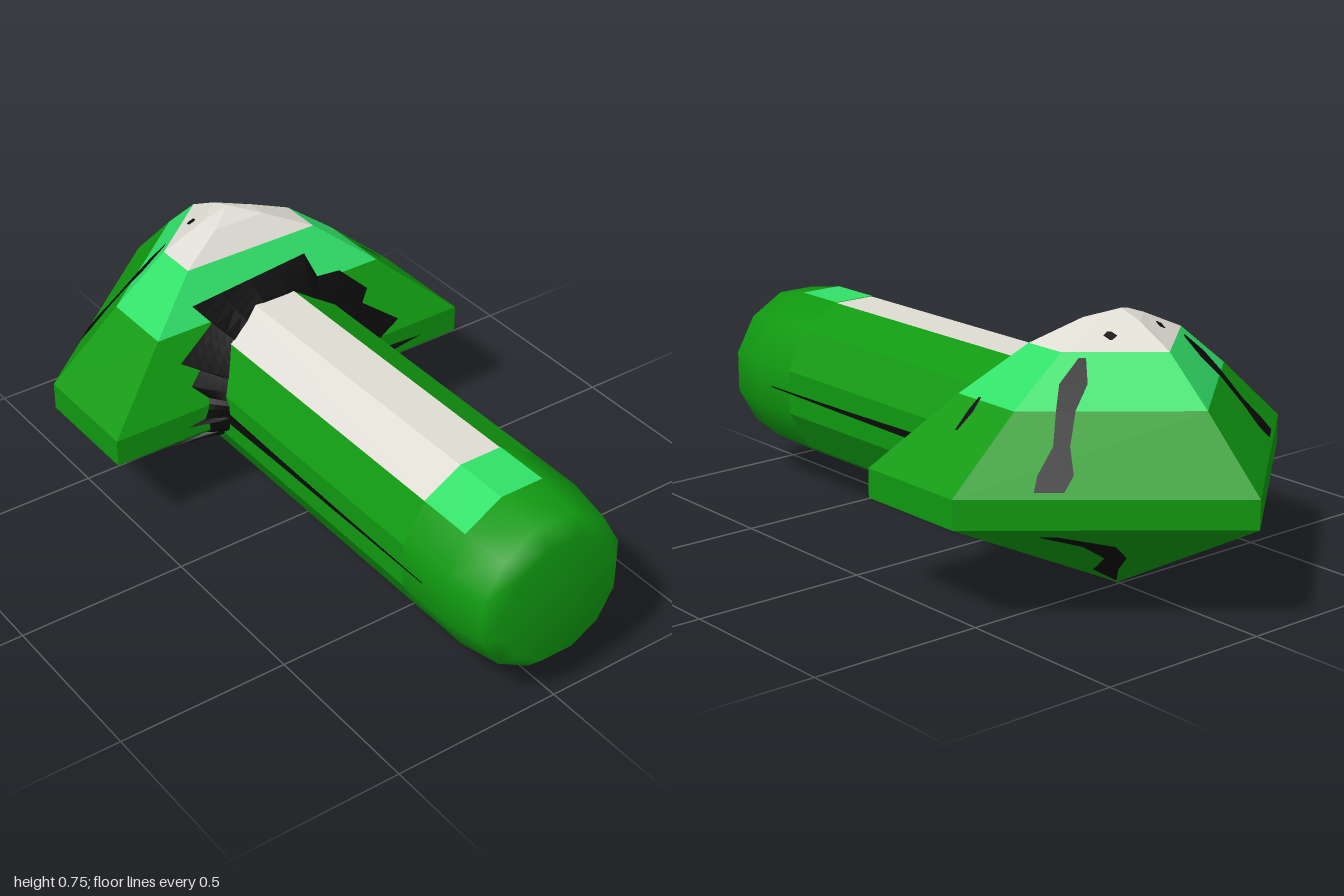
import * as THREE from 'three';

const material = (name, color, side = THREE.FrontSide) => {
  const m = new THREE.MeshStandardMaterial({ color, side });
  m.name = name;
  return m;
};

// Head levels: y, x of the tip, x of the side corners, x of the back corners, half depth
const LEVELS = [
  [0, -0.49, -0.49, -0.49, 0],
  [0.28, -1, -0.51, -0.17, 0.582],
  [0.36, -1, -0.51, -0.17, 0.582],
  [0.545, -0.81, -0.5, -0.28, 0.372],
  [0.67, -0.67, -0.495, -0.37, 0.212],
  [0.728, -0.56, -0.49, -0.43, 0.08],
  [0.752, -0.49, -0.49, -0.49, 0],
];
const STEM_Y = 0.32, STEM_R = 0.25, SIDES = 12;

const V = (x, y, z) => new THREE.Vector3(x, y, z);

// Values of the head outline at any height
function levelAt(y) {
  let i = 0;
  while (i < LEVELS.length - 2 && y > LEVELS[i + 1][0]) i++;
  const a = LEVELS[i], b = LEVELS[i + 1];
  const t = (y - a[0]) / (b[0] - a[0]);
  return a.map((v, k) => v + (b[k] - v) * t);
}

// Five corners of the head at a level
const corners = ([y, tip, side, back, z]) => [
  V(tip, y, 0), V(side, y, z), V(back, y, z), V(back, y, -z), V(side, y, -z),
];

const addQuad = (list, a, b, c, d) => list.push(a, b, c, a, c, d);

function flatMesh(name, list, mat) {
  const g = new THREE.BufferGeometry().setFromPoints(list);
  g.computeVertexNormals();
  const m = new THREE.Mesh(g, mat);
  m.name = name;
  return m;
}

// Faceted head between two level indices
function headBand(name, from, to, mat) {
  const list = [];
  for (let l = from; l < to; l++) {
    const lo = corners(LEVELS[l]), hi = corners(LEVELS[l + 1]);
    for (let i = 0; i < 5; i++) {
      const j = (i + 1) % 5;
      if (LEVELS[l][4] === 0) list.push(lo[i], hi[j], hi[i]);
      else if (LEVELS[l + 1][4] === 0) list.push(lo[i], lo[j], hi[i]);
      else addQuad(list, lo[i], lo[j], hi[j], hi[i]);
    }
  }
  return flatMesh(name, list, mat);
}

// Jagged strip lying on one head facet; rows are [y, u0, u1] across the facet
function crack(name, i, j, rows, mat, mirror = 1) {
  const centre = V(-0.49, 0.32, 0);
  const at = (y, u) => {
    const c = corners(levelAt(y));
    const p = c[i].clone().lerp(c[j], u).sub(centre).multiplyScalar(1.012).add(centre);
    p.z *= mirror;
    return p;
  };
  const list = [];
  for (let k = 0; k < rows.length - 1; k++) {
    const [y0, a, b] = rows[k], [y1, c, d] = rows[k + 1];
    addQuad(list, at(y0, a), at(y0, b), at(y1, d), at(y1, c));
  }
  return flatMesh(name, list, mat);
}

// Stem facets, numbered from the top towards +z
function stemFacets(name, x0, x1, r, facets, mat) {
  const p = (x, k) => {
    const a = (k - 0.5) * 2 * Math.PI / SIDES;
    return V(x, STEM_Y + r * Math.cos(a), r * Math.sin(a));
  };
  const list = [];
  for (const f of facets) addQuad(list, p(x0, f), p(x0, f + 1), p(x1, f + 1), p(x1, f));
  return flatMesh(name, list, mat);
}

// Jagged collar on the back of the head, rising onto the stem
function collar(mat) {
  const outline = [
    [0.24, 0.595], [-0.15, 0.62], [-0.165, 0.56], [-0.24, 0.555], [-0.31, 0.49], [-0.28, 0.46],
    [-0.38, 0.39], [-0.29, 0.36], [-0.3, 0.325], [-0.45, 0.317], [-0.3, 0.31], [-0.29, 0.26],
    [-0.39, 0.245], [-0.28, 0.2], [-0.25, 0.15], [-0.12, 0.075], [0, 0.045], [0.12, 0.075],
    [0.25, 0.15], [0.28, 0.18], [0.37, 0.21], [0.28, 0.25], [0.29, 0.31], [0.355, 0.317],
    [0.3, 0.325], [0.28, 0.38], [0.32, 0.42], [0.28, 0.45], [0.33, 0.48], [0.2, 0.545],
  ];
  const STEPS = 4, RINGS = 4;
  const point = (z, y, t) => {
    const k = 0.238 / Math.hypot(z, y - STEM_Y);
    const s = k + (1 - k) * t;
    const yy = STEM_Y + (y - STEM_Y) * s;
    return V(levelAt(yy)[3] + 0.007 + 0.035 * (1 - t), yy, z * s);
  };
  const list = [];
  outline.forEach(([z0, y0], i) => {
    const [z1, y1] = outline[(i + 1) % outline.length];
    const along = (s, t) => point(z0 + (z1 - z0) * s, y0 + (y1 - y0) * s, t);
    for (let s = 0; s < STEPS; s++) for (let r = 0; r < RINGS; r++) {
      const a = s / STEPS, b = (s + 1) / STEPS, c = r / RINGS, d = (r + 1) / RINGS;
      addQuad(list, along(a, c), along(b, c), along(b, d), along(a, d));
    }
  });
  return flatMesh('crackedCollar', list, mat);
}

export function createModel() {
  const green = material('green', 0x109910);
  const lightGreen = material('lightGreen', 0x30e068);
  const offWhite = material('offWhite', 0xdedcd3);
  const black = material('black', 0x0a0a0a, THREE.DoubleSide);
  const model = new THREE.Group();
  model.name = 'crystalHammer';

  // Head
  const head = new THREE.Group();
  head.name = 'head';
  head.add(
    headBand('headBody', 0, 3, green),
    headBand('headBand', 3, 4, lightGreen),
    headBand('headCap', 4, 6, offWhite),
  );

  // Stem with flat facets and a smooth rounded end
  const stem = new THREE.Group();
  stem.name = 'stem';
  stem.add(
    stemFacets('stemBody', -0.45, 0.665, STEM_R, [2, 3, 4, 5, 6, 7, 8, 9, 10, 11], green),
    stemFacets('stemStripe', -0.45, 0.665, STEM_R, [0, 1], offWhite),
    stemFacets('stemStripeEnd', 0.665, 0.83, STEM_R + 0.002, [0, 1], lightGreen),
  );
  const profile = [[0.25, 0.665], [0.25, 0.83], [0.228, 0.96], [0.185, 1], [0, 1]];
  const endGeometry = new THREE.LatheGeometry(
    profile.map(([r, x]) => new THREE.Vector2(r, x)), SIDES, Math.PI / SIDES);
  endGeometry.rotateZ(-Math.PI / 2);
  const end = new THREE.Mesh(endGeometry, green);
  end.name = 'stemEnd';
  end.position.y = STEM_Y;
  stem.add(end);

  // Black cracks on both sides
  const cracks = new THREE.Group();
  cracks.name = 'cracks';
  cracks.add(collar(black));
  const upper = [
    [0.375, 0.64, 0.74], [0.41, 0.62, 0.75], [0.47, 0.66, 0.73], [0.545, 0.68, 0.78],
    [0.6, 0.66, 0.84], [0.655, 0.74, 0.8],
  ];
  const lower = [[0.02, 0.5, 0.6], [0.08, 0.45, 0.75], [0.14, 0.4, 0.55], [0.2, 0.47, 0.62], [0.25, 0.68, 0.75]];
  const speck = [[0.69, 0.55, 0.58], [0.698, 0.5, 0.68], [0.706, 0.6, 0.66]];
  for (const side of [1, -1]) {
    cracks.add(
      crack('headCrack', 0, 1, upper, black, side),
      crack('undersideCrack', 0, 1, lower, black, side),
      crack('capSpeck', 0, 1, speck, black, side),
    );
    const z = side * (STEM_R * Math.cos(Math.PI / SIDES) + 0.004);
    const line = [[-0.16, 0.305, 0.34], [0.1, 0.311, 0.332], [0.4, 0.314, 0.326], [0.75, 0.319, 0.322]];
    const list = [];
    for (let k = 0; k < line.length - 1; k++) {
      const [x0, a, b] = line[k], [x1, c, d] = line[k + 1];
      addQuad(list, V(x0, a, z), V(x1, c, z), V(x1, d, z), V(x0, b, z));
    }
    cracks.add(flatMesh('stemCrack', list, black));
  }
  cracks.add(crack('sideCrack', 1, 2, [[0.48, 0.5, 0.53], [0.52, 0.52, 0.6], [0.55, 0.6, 0.64]], black, -1));

  model.add(head, stem, cracks);
  return model;
}
